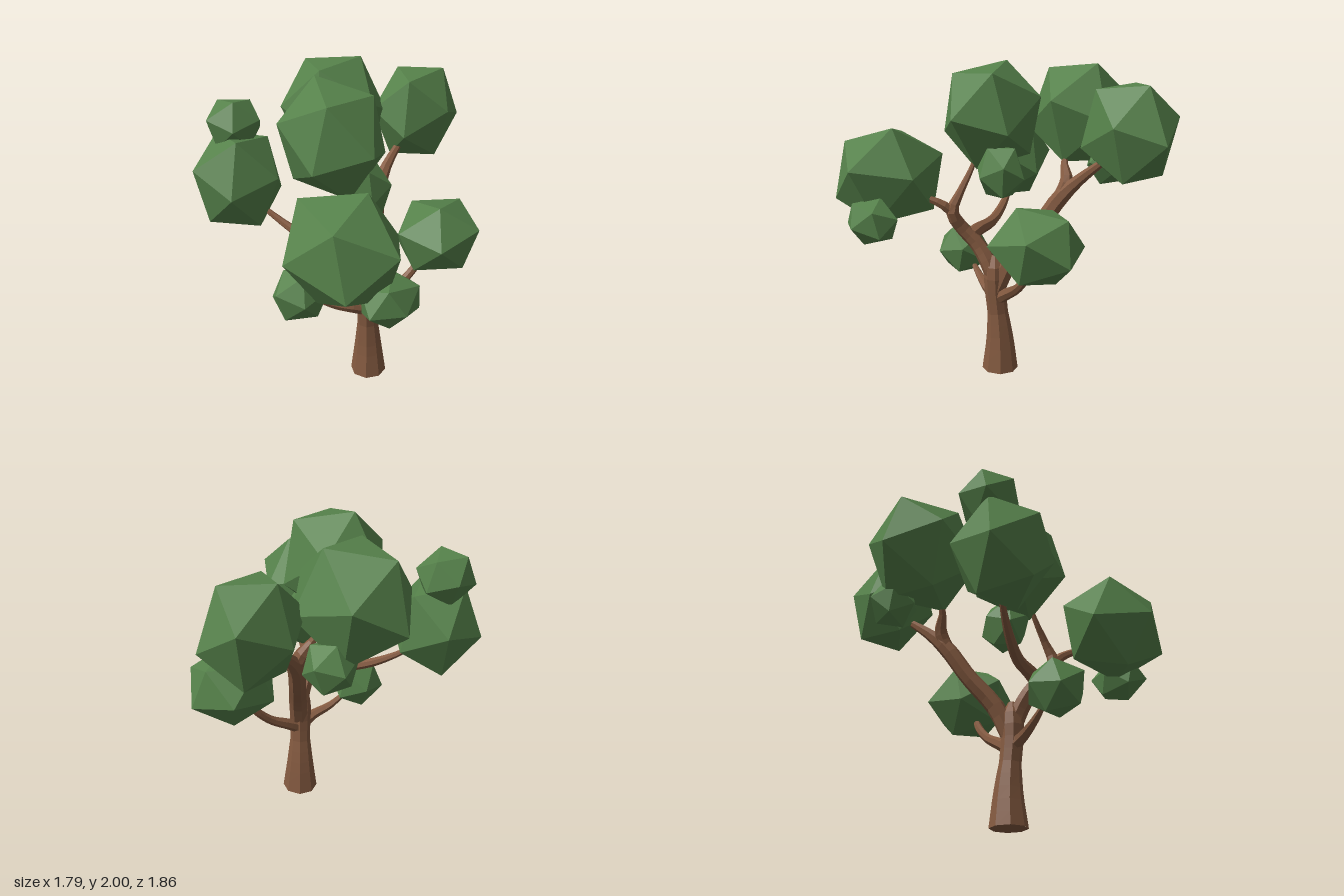
import * as THREE from 'three';

const bark = new THREE.MeshStandardMaterial({ color: 0x845a40, flatShading: true });
const leaf = new THREE.MeshStandardMaterial({ color: 0x55814a, flatShading: true });
const V = (p) => new THREE.Vector3(...p);

// Orthonormal frame whose x axis is a and whose xy plane holds b
function frame(a, b) {
  const x = a.clone().normalize();
  const z = x.clone().cross(b).normalize();
  return new THREE.Matrix4().makeBasis(x, z.clone().cross(x), z);
}

// Leaf clump: an icosahedron with one corner towards a and its neighbour towards b,
// stretched to fill the box from min to max
function clump(name, min, max, a, b) {
  const geo = new THREE.IcosahedronGeometry(1, 0);
  const phi = (1 + Math.sqrt(5)) / 2;
  const source = frame(V([0, 1, phi]), V([0, -1, phi]));
  geo.applyMatrix4(frame(V(a), V(b)).multiply(source.invert()));
  geo.computeBoundingBox();
  const size = geo.boundingBox.getSize(new THREE.Vector3());
  const lo = V(min), hi = V(max);
  const s = hi.clone().sub(lo).divide(size);
  geo.scale(s.x, s.y, s.z);
  const c = lo.add(hi).multiplyScalar(0.5);
  geo.translate(c.x, c.y, c.z);
  geo.computeVertexNormals();
  const mesh = new THREE.Mesh(geo, leaf);
  mesh.name = name;
  return mesh;
}

// Tapered limb through points [x, y, z, radius]
function limb(name, points, sides = 7, steps = 3) {
  const curve = new THREE.CatmullRomCurve3(points.map((p) => V(p.slice(0, 3))));
  const n = points.length - 1;
  const rings = n * steps;
  const geo = new THREE.TubeGeometry(curve, rings, 1, sides, false);
  const pos = geo.attributes.position;
  const v = new THREE.Vector3();
  for (let i = 0; i <= rings; i++) {
    const u = i / rings;
    const centre = curve.getPointAt(u);
    const t = curve.getUtoTmapping(u) * n;
    const k = Math.min(Math.floor(t), n - 1);
    const r = THREE.MathUtils.lerp(points[k][3], points[k + 1][3], t - k);
    for (let j = 0; j <= sides; j++) {
      const q = i * (sides + 1) + j;
      v.fromBufferAttribute(pos, q).sub(centre).multiplyScalar(r).add(centre);
      pos.setXYZ(q, v.x, v.y, v.z);
    }
  }
  geo.computeVertexNormals();
  const mesh = new THREE.Mesh(geo, bark);
  mesh.name = name;
  return mesh;
}

export function createModel() {
  const tree = new THREE.Group();
  tree.name = 'tree';

  // Trunk with flared foot and closed base
  const wood = new THREE.Group();
  wood.name = 'wood';
  tree.add(wood);
  wood.add(limb('trunk', [
    [0.05, 0, 0.09, 0.117], [0.05, 0.2, 0.09, 0.09], [0.06, 0.4, 0.1, 0.066],
    [0.07, 0.55, 0.11, 0.07], [0.07, 0.68, 0.11, 0.075], [0.07, 0.78, 0.11, 0.025],
  ], 8, 2));
  const base = new THREE.Mesh(new THREE.CircleGeometry(0.115, 8), bark);
  base.name = 'trunkBase';
  base.rotation.x = Math.PI / 2;
  base.position.set(0.05, 0.001, 0.09);
  wood.add(base);

  // Main limbs and their forks
  wood.add(limb('backLimb', [
    [0.07, 0.55, 0.1, 0.06], [0.01, 0.75, 0.03, 0.06], [-0.11, 0.95, -0.09, 0.055],
    [-0.21, 1.16, -0.2, 0.055], [-0.26, 1.27, -0.3, 0.038], [-0.31, 1.42, -0.48, 0.02],
  ]));
  wood.add(limb('backLimbFork', [
    [-0.19, 1.12, -0.18, 0.045], [-0.25, 1.25, -0.21, 0.045], [-0.3, 1.36, -0.15, 0.022], [-0.36, 1.46, -0.12, 0.015],
  ]));
  wood.add(limb('frontLimb', [
    [0.07, 0.55, 0.1, 0.05], [0.09, 0.7, 0.14, 0.055], [0.12, 0.84, 0.22, 0.052],
    [0.19, 0.95, 0.29, 0.045], [0.25, 1.06, 0.31, 0.042], [0.2, 1.18, 0.29, 0.026],
    [0.11, 1.32, 0.28, 0.017], [0.05, 1.45, 0.27, 0.012],
  ]));
  wood.add(limb('leftFork', [
    [0.23, 1.03, 0.31, 0.035], [0.29, 1.1, 0.34, 0.03], [0.42, 1.18, 0.47, 0.015],
  ]));
  wood.add(limb('rightBranch', [
    [0.15, 0.9, 0.25, 0.045], [0.05, 0.92, 0.28, 0.046], [-0.1, 0.94, 0.31, 0.038],
    [-0.28, 1.0, 0.39, 0.03], [-0.43, 1.09, 0.47, 0.02], [-0.54, 1.18, 0.54, 0.012],
  ]));
  wood.add(limb('frontTwig', [
    [0.06, 0.48, 0.09, 0.045], [0.05, 0.53, 0.2, 0.036], [0, 0.58, 0.33, 0.025], [-0.04, 0.66, 0.45, 0.014],
  ]));
  wood.add(limb('backTwig', [
    [0.06, 0.48, 0.1, 0.045], [0.08, 0.54, 0, 0.038], [0.11, 0.61, -0.12, 0.03],
    [0.14, 0.72, -0.23, 0.026], [0.18, 0.85, -0.3, 0.016],
  ]));

  // Foliage: name, box corners, direction of one corner and of its neighbour
  const crown = new THREE.Group();
  crown.name = 'foliage';
  tree.add(crown);
  const clumps = [
    ['topClump', [-0.43, 1.32, -0.02], [0.31, 2, 0.54], [-0.12, 0.09, 0.27], [-0.14, 0.34, -0.02]],
    ['upperRightClump', [-0.9, 1.33, -0.41], [-0.18, 1.98, 0.22], [-0.29, 0.33, 0.06], [0.09, 0.29, -0.19]],
    ['frontLeftClump', [0.14, 0.98, 0.29], [0.87, 1.6, 0.93], [-0.06, -0.015, 0.32], [0.22, 0.28, 0.23]],
    ['frontRightClump', [-0.85, 1.03, 0.32], [-0.34, 1.61, 0.89], [-0.03, 0.1, 0.28], [0.15, 0.26, 0.05]],
    ['backUpperClump', [-0.57, 1.3, -0.93], [-0.08, 1.87, -0.31], [0.09, 0.28, -0.18], [0.1, -0.03, -0.3]],
    ['backLowerClump', [-0.04, 0.71, -0.65], [0.44, 1.18, -0.07], [-0.03, 0.23, -0.23], [0.03, -0.03, -0.29]],
    ['smallRightClump', [-0.82, 1.5, 0.39], [-0.51, 1.81, 0.75], [0, 0.05, 0.15], [-0.1, 0.13, 0.05]],
    ['smallFrontClump', [-0.21, 0.56, 0.35], [0.11, 0.88, 0.72], [0.02, 0.06, 0.17], [0.08, 0.15, -0.01]],
    ['smallLeftClump', [0.6, 0.91, 0.3], [0.89, 1.2, 0.66], [0.06, -0.03, 0.15], [0.08, 0.13, 0.03]],
    ['smallBackClump', [-0.73, 1.21, -0.46], [-0.43, 1.51, -0.14], [-0.03, 0.04, -0.15], [-0.06, 0.14, 0.02]],
    ['smallInnerClump', [-0.1, 1.16, -0.08], [0.17, 1.47, 0.27], [0.04, 0.03, 0.16], [0.09, 0.13, 0.02]],
  ];
  for (const c of clumps) crown.add(clump(...c));
  return tree;
}
